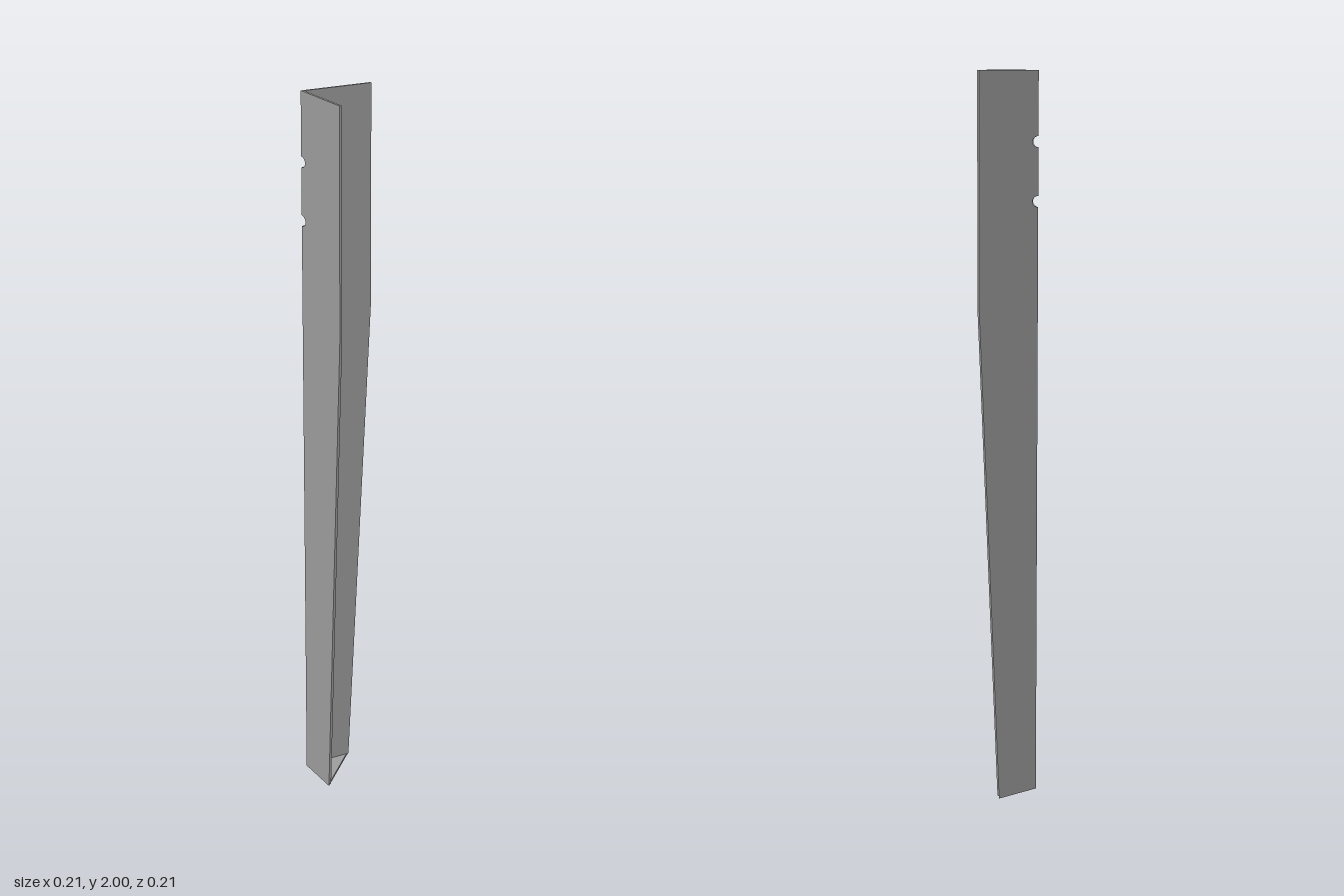
import * as THREE from 'three';

const CORNER = -0.104, WIDTH = 0.208, FOOT_WIDTH = 0.136, THICK = 0.007;
const TAPER_Y = 1.38, TOP_Y = 2, HOLE_R = 0.015, HOLES = [1.65, 1.81];

// One tapered flange; side is the direction it runs from the corner edge.
function flangeGeometry(side) {
  const points = [[0, THICK], [FOOT_WIDTH, THICK], [WIDTH, TAPER_Y], [WIDTH, TOP_Y], [0, TOP_Y]];
  // half-ellipse notches left by round holes drilled diagonally through the corner
  for (const y of [...HOLES].reverse()) {
    for (let i = 0; i <= 12; i++) {
      const a = Math.PI * (0.5 - i / 12);
      points.push([HOLE_R * Math.SQRT2 * Math.max(0, Math.cos(a)), y + HOLE_R * Math.sin(a)]);
    }
  }
  const shape = new THREE.Shape(points.map(([u, y]) => new THREE.Vector2(side * u, y)));
  const geometry = new THREE.ExtrudeGeometry(shape, { depth: THICK, bevelEnabled: false });
  // mitre the corner edge and slant the notches along the diagonal
  const pos = geometry.attributes.position;
  for (let i = 0; i < pos.count; i++) {
    if (Math.abs(pos.getX(i)) < 0.05) pos.setX(i, pos.getX(i) + side * pos.getZ(i));
  }
  geometry.computeVertexNormals();
  return geometry;
}

export function createModel() {
  const leg = new THREE.Group();
  leg.name = 'angleLeg';
  const steel = new THREE.MeshStandardMaterial({ color: 0xa0a0a0 });
  steel.name = 'grey steel';

  const add = (name, geometry) => {
    const mesh = new THREE.Mesh(geometry, steel);
    mesh.name = name;
    mesh.position.set(CORNER, 0, CORNER);
    leg.add(mesh);
    return mesh;
  };

  // two flanges meeting at a right angle
  add('backFlange', flangeGeometry(1));
  add('sideFlange', flangeGeometry(-1)).rotation.y = Math.PI / 2;

  // triangular foot plate closing the bottom
  const triangle = new THREE.Shape([
    new THREE.Vector2(0, 0), new THREE.Vector2(FOOT_WIDTH, 0), new THREE.Vector2(0, -FOOT_WIDTH),
  ]);
  const foot = new THREE.ExtrudeGeometry(triangle, { depth: THICK, bevelEnabled: false });
  foot.rotateX(-Math.PI / 2);
  add('footPlate', foot);

  return leg;
}
